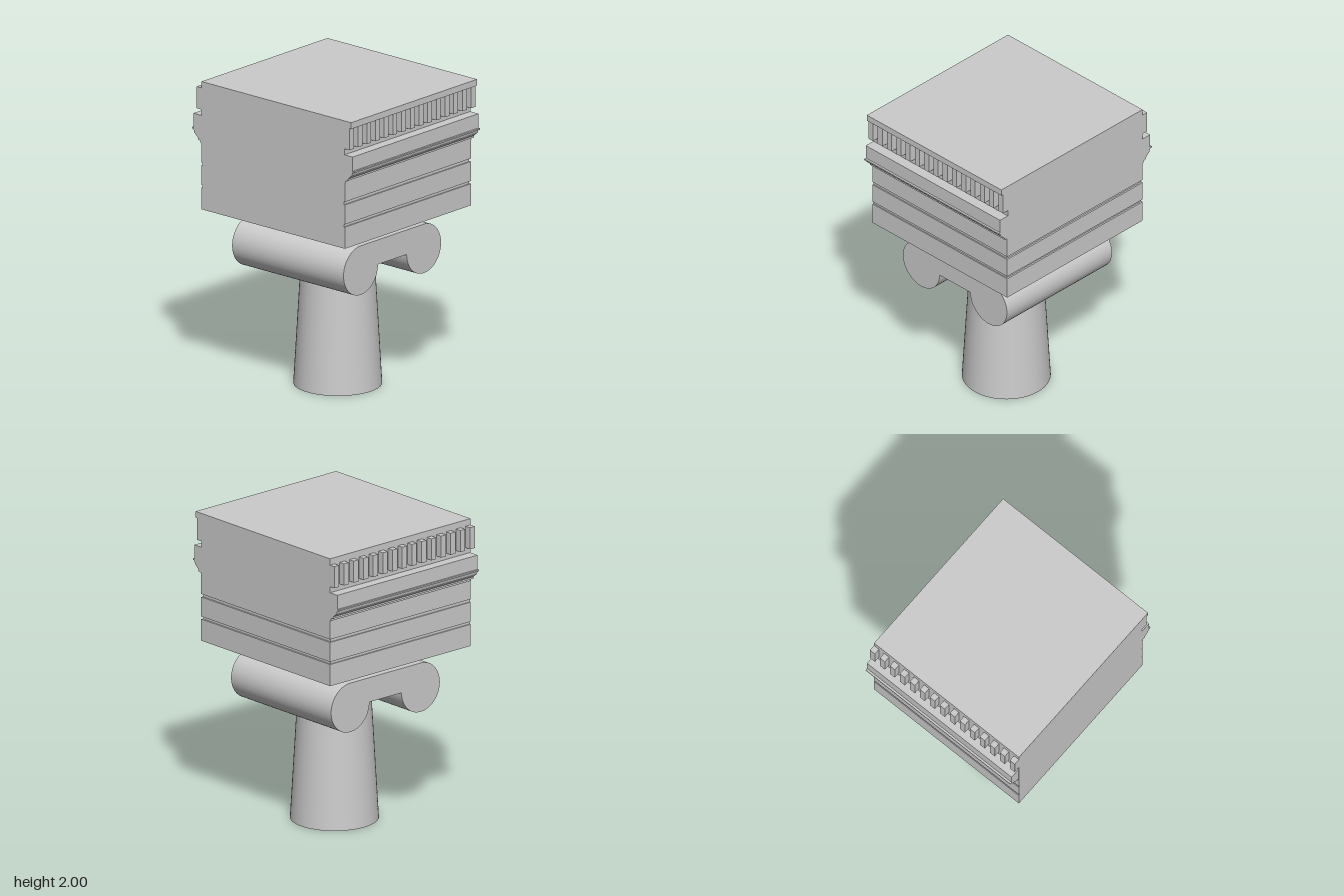
import * as THREE from 'three';

const material = new THREE.MeshStandardMaterial({ color: 0xcccccc });

export function createModel() {
  const model = new THREE.Group();

  const add = (name, geometry, x = 0, y = 0, z = 0, parent = model) => {
    const mesh = new THREE.Mesh(geometry, material);
    mesh.name = name;
    mesh.position.set(x, y, z);
    parent.add(mesh);
    return mesh;
  };
  // Box given by its limits on each axis
  const block = (name, [x0, x1], [y0, y1], [z0, z1], parent) =>
    add(name, new THREE.BoxGeometry(x1 - x0, y1 - y0, z1 - z0),
      (x0 + x1) / 2, (y0 + y1) / 2, (z0 + z1) / 2, parent);

  // Tapered shaft
  const shaftTop = 0.915;
  add('shaft', new THREE.CylinderGeometry(0.227, 0.28, shaftTop, 64), 0, shaftTop / 2, 0.015);

  // Capital: two round scrolls joined across the top
  const cx = 0.298, cy = 0.912, r = 0.162;
  const scroll = new THREE.Shape();
  scroll.moveTo(-cx, cy + r);
  scroll.absarc(-cx, cy, r, Math.PI / 2, Math.PI * 2, false);
  scroll.lineTo(cx - r, cy);
  scroll.absarc(cx, cy, r, Math.PI, Math.PI * 2.5, false);
  scroll.closePath();
  const scrollLength = 0.94;
  add('scrollCapital', new THREE.ExtrudeGeometry(scroll,
    { depth: scrollLength, bevelEnabled: false, curveSegments: 40 }), 0, 0, 0.005 - scrollLength / 2);

  // Round moulding and flat plate above the capital
  const moulding = [[0, 1.085], [0.25, 1.085], [0.25, 1.098], [0.262, 1.102], [0.275, 1.11],
    [0.284, 1.12], [0.29, 1.13], [0.298, 1.136], [0, 1.136]].map(p => new THREE.Vector2(...p));
  const mouldingGeometry = new THREE.LatheGeometry(moulding, 64).toNonIndexed();
  mouldingGeometry.computeVertexNormals();
  add('neckMoulding', mouldingGeometry);
  block('abacus', [-0.303, 0.303], [1.134, 1.156], [-0.352, 0.352]);

  // Entablature: three bands separated by shallow grooves
  const width = [-0.596, 0.594], depth = [-0.604, 0.608];
  [[1.155, 1.298], [1.316, 1.445], [1.465, 1.6]].forEach(y => block('band', width, y, depth));
  block('bandCore', [-0.596, 0.583], [1.17, 1.59], [-0.596, 0.6]);
  block('frieze', width, [1.6, 2], [-0.603, 0.603]);

  // Cornice profile (outward, up), run along the front and the back
  const profile = [[0.55, 1.775], [0.55, 1.59], [0.612, 1.59], [0.612, 1.605], [0.634, 1.61],
    [0.634, 1.622], [0.666, 1.65], [0.672, 1.672], [0.686, 1.672], [0.686, 1.681],
    [0.672, 1.681], [0.672, 1.775]].map(p => new THREE.Vector2(...p));
  const cornice = new THREE.ExtrudeGeometry(new THREE.Shape(profile), { depth: 1.188, bevelEnabled: false });
  cornice.translate(0, 0, -0.594);
  cornice.rotateY(-Math.PI / 2);
  add('frontCornice', cornice);
  add('backCornice', cornice).rotation.y = Math.PI;

  // Dentils, on both faces
  const count = 15, tooth = 1.19 / (2 * count - 1);
  for (const side of [1, -1]) {
    const row = new THREE.Group();
    row.name = side > 0 ? 'frontDentils' : 'backDentils';
    for (let i = 0; i < count; i++) {
      const x = -0.596 + 2 * tooth * i;
      const z = side > 0 ? [0.595, 0.646] : [-0.644, -0.595];
      block('dentil', [x, x + tooth], [1.815, 1.958], z, row);
    }
    model.add(row);
  }

  // Crown strip over the front dentils only
  block('frontCrown', width, [1.958, 2], [0.59, 0.66]);

  return model;
}
